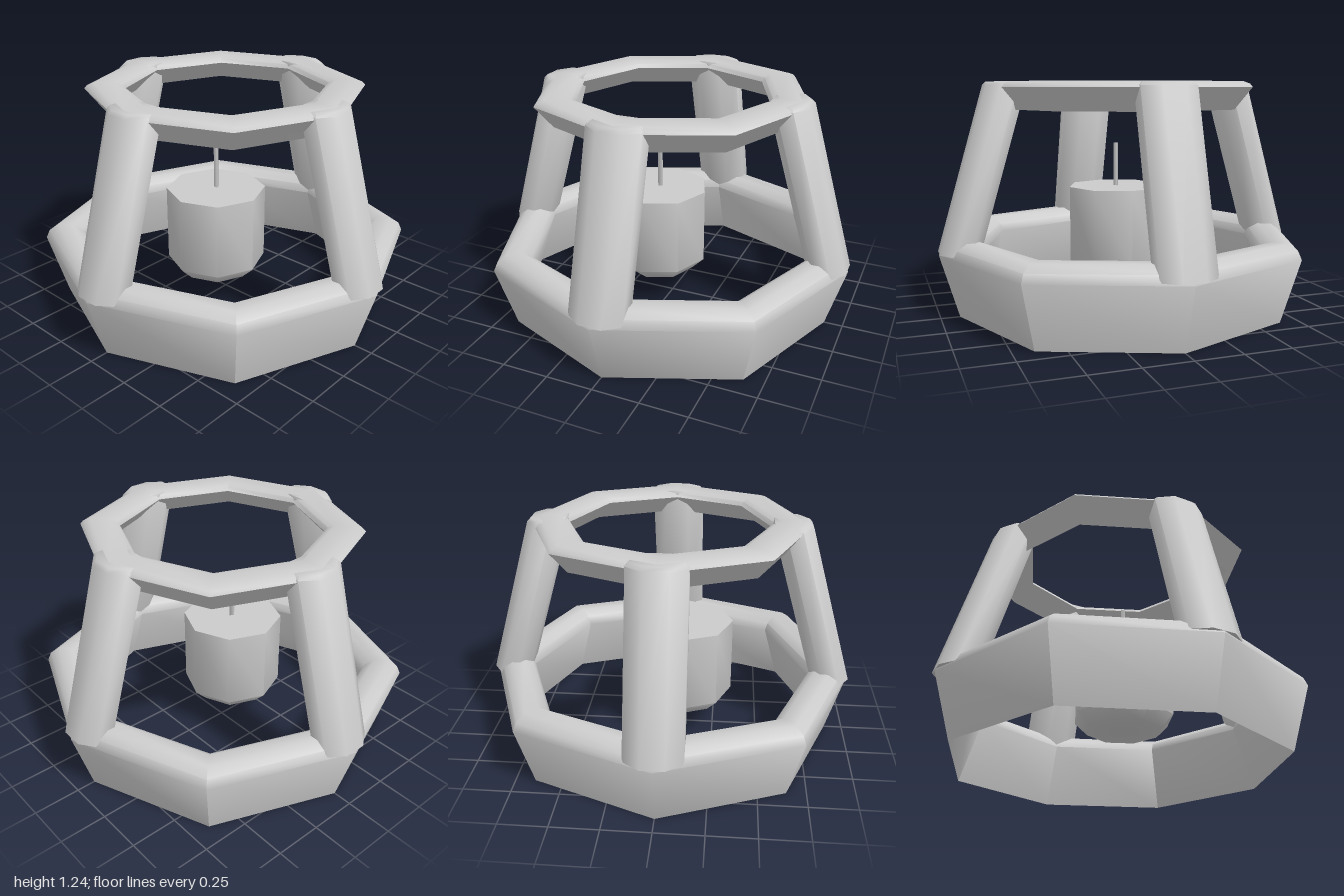
import * as THREE from 'three';
import { toCreasedNormals, mergeVertices } from 'three/addons/utils/BufferGeometryUtils.js';

const grey = new THREE.MeshStandardMaterial({ color: 0xcccccc });

function mesh(name, geometry) {
  const m = new THREE.Mesh(geometry, grey);
  m.name = name;
  return m;
}

// Skins equal-sized cross-section loops; either joins the last to the first or caps both ends.
function loft(loops, closed, crease) {
  const n = loops[0].length, count = loops.length, index = [];
  const spans = closed ? count : count - 1;
  for (let i = 0; i < spans; i++) {
    const a = i * n, b = ((i + 1) % count) * n;
    for (let j = 0; j < n; j++) {
      const k = (j + 1) % n;
      index.push(a + j, a + k, b + k, a + j, b + k, b + j);
    }
  }
  if (!closed) {
    const t = (count - 1) * n;
    for (let j = 1; j < n - 1; j++) index.push(0, j + 1, j, t, t + j, t + j + 1);
  }
  const g = new THREE.BufferGeometry();
  g.setAttribute('position', new THREE.Float32BufferAttribute(loops.flat(2), 3));
  g.setIndex(index);
  return toCreasedNormals(g, crease);
}

// Eight-sided ring from a section of [radius, height]; diagonal corners may sit further out.
function octagonRing(section, diagonal) {
  const loops = [];
  for (let i = 0; i < 8; i++) {
    const a = (i * Math.PI) / 4, s = i % 2 ? diagonal : 1;
    loops.push(section.map(([r, y]) => [r * s * Math.cos(a), y, r * s * Math.sin(a)]));
  }
  return loft(loops, true, 0.74);
}

// Leaning leg: a flattened octagon carried from the base ring up to the top ring.
function legGeometry() {
  const level = (cx, y, s) => Array.from({ length: 8 }, (_, i) => {
    const a = ((i + 0.5) * Math.PI) / 4, k = s / Math.cos(Math.PI / 8);
    return [cx + 0.104 * k * Math.cos(a), y, -0.145 * k * Math.sin(a)];
  });
  return loft([level(0.893, 0.35, 1), level(0.641, 1.215, 1), level(0.637, 1.233, 0.88)], false, 1.1);
}

export function createModel() {
  const model = new THREE.Group();
  model.name = 'model';

  // Base ring: rounded on top, tapering to an edge at the ground
  model.add(mesh('baseRing', octagonRing([
    [0.9, 0], [1.0, 0.34], [0.98, 0.385], [0.93, 0.42],
    [0.85, 0.42], [0.8, 0.385], [0.78, 0.34],
  ], 1.015)));

  // Top ring: smaller, with the same tapered underside
  model.add(mesh('topRing', octagonRing([
    [0.645, 1.09], [0.74, 1.205], [0.725, 1.222], [0.69, 1.235],
    [0.58, 1.235], [0.545, 1.222], [0.53, 1.2],
  ], 1)));

  // Four legs
  const leg = legGeometry();
  ['leftLeg', 'backLeg', 'rightLeg', 'frontLeg'].forEach((name, i) => {
    const m = mesh(name, leg);
    m.rotation.y = (i * Math.PI) / 2;
    model.add(m);
  });

  // Hanging drum, slightly off centre, with a thin three-sided rod on top
  const profile = [[0, 0.17], [0.2, 0.17], [0.27, 0.24], [0.27, 0.655], [0, 0.655]]
    .map(([r, y]) => new THREE.Vector2(r, y));
  const lathe = new THREE.LatheGeometry(profile, 8);
  lathe.deleteAttribute('normal');
  lathe.deleteAttribute('uv');
  const drum = mesh('drum', toCreasedNormals(mergeVertices(lathe), 0.9));
  drum.position.x = -0.08;
  model.add(drum);

  const rod = mesh('rod', new THREE.CylinderGeometry(0.015, 0.015, 0.25, 3));
  rod.position.set(-0.075, 0.77, 0);
  rod.rotation.y = Math.PI / 2;
  model.add(rod);

  return model;
}
